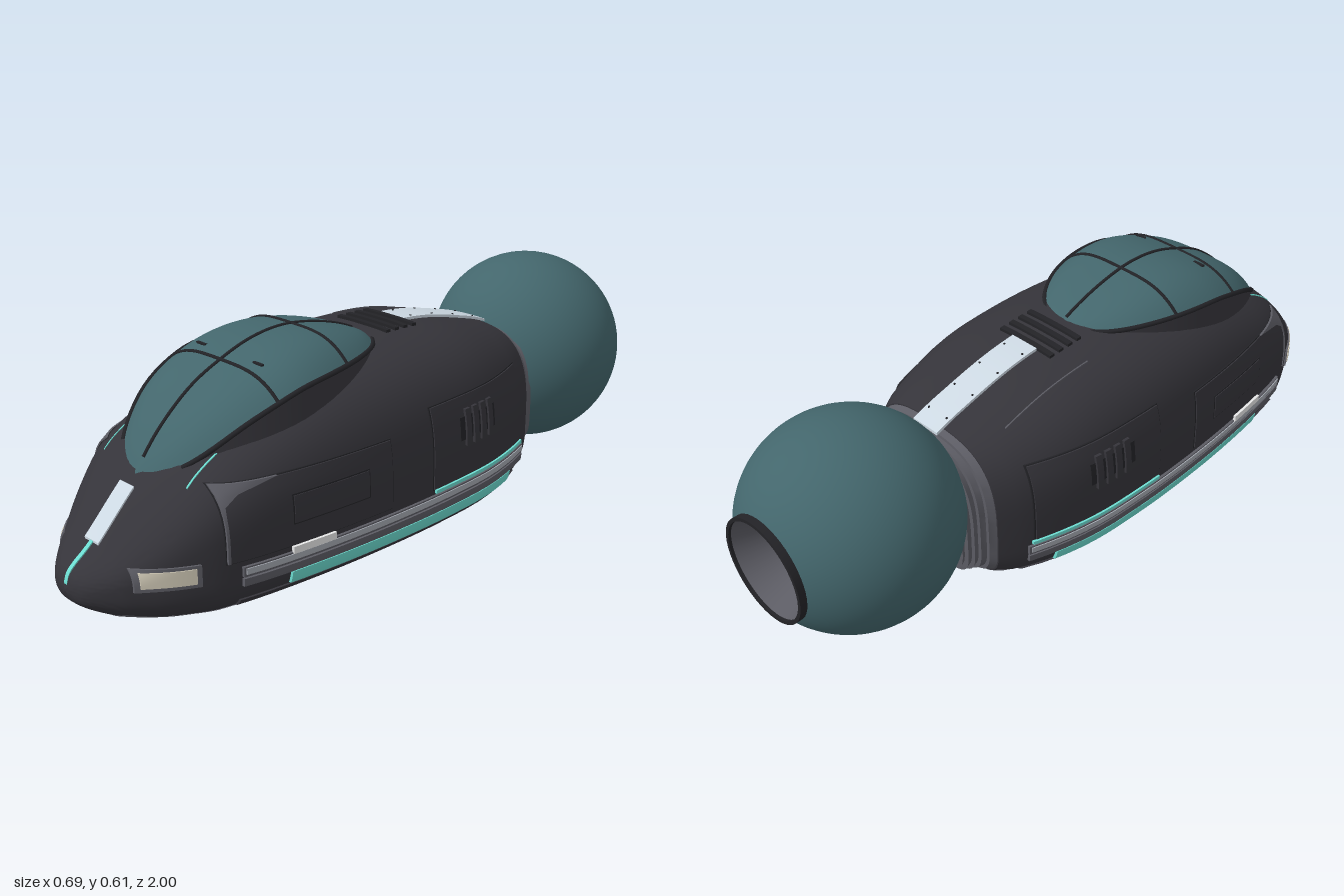
import * as THREE from 'three';
import { toCreasedNormals, mergeVertices } from 'three/addons/utils/BufferGeometryUtils.js';

const mat = (name, color, side = THREE.FrontSide) => {
  const m = new THREE.MeshStandardMaterial({ color, side });
  m.name = name;
  return m;
};

// Smooth interpolation through [z, value] pairs, z descending
function spline(p) {
  const slope = i => {
    const a = p[Math.max(i - 1, 0)], b = p[Math.min(i + 1, p.length - 1)];
    return (b[1] - a[1]) / (b[0] - a[0]);
  };
  return z => {
    z = Math.min(p[0][0], Math.max(p[p.length - 1][0], z));
    let i = 0;
    while (i < p.length - 2 && z < p[i + 1][0]) i++;
    const d = p[i + 1][0] - p[i][0], t = (z - p[i][0]) / d, t2 = t * t, t3 = t2 * t;
    return p[i][1] * (2 * t3 - 3 * t2 + 1) + p[i + 1][1] * (3 * t2 - 2 * t3)
      + slope(i) * d * (t3 - 2 * t2 + t) + slope(i + 1) * d * (t3 - t2);
  };
}

// Hull profile curves
const halfW = spline([[1, 0], [0.99, 0.05], [0.97, 0.085], [0.93, 0.13], [0.9, 0.155], [0.84, 0.2], [0.78, 0.235],
  [0.72, 0.262], [0.6, 0.29], [0.4, 0.315], [0.2, 0.328], [0, 0.33], [-0.2, 0.316], [-0.4, 0.262], [-0.48, 0.215]]);
const topY = spline([[1, 0.105], [0.99, 0.138], [0.97, 0.16], [0.94, 0.182], [0.91, 0.207], [0.8, 0.317], [0.72, 0.385],
  [0.6, 0.445], [0.4, 0.505], [0.2, 0.53], [0, 0.535], [-0.2, 0.52], [-0.4, 0.472], [-0.48, 0.445]]);
const lowY = spline([[1, 0.105], [0.99, 0.075], [0.95, 0.045], [0.9, 0.026], [0.8, 0.011], [0.6, 0.006],
  [-0.1, 0.006], [-0.3, 0.014], [-0.42, 0.035], [-0.48, 0.06]]);
const midY = spline([[1, 0.105], [0.9, 0.13], [0.72, 0.19], [0.5, 0.2], [-0.48, 0.2]]);
const power = (z, up) => {
  const t = Math.min(1, Math.max(0, (1 - z) / 0.28));
  return up ? 2.2 + 0.8 * t : 2.4 + 2.6 * t;
};

// Hull surface look-ups
function sideX(z, y) {
  const m = midY(z), up = y > m, n = power(z, up);
  const v = Math.min(0.999, Math.abs(y - m) / Math.abs((up ? topY(z) : lowY(z)) - m || 1e-6));
  return halfW(z) * Math.pow(1 - Math.pow(v, n), 1 / n);
}
function hullY(z, x, up) {
  const m = midY(z), n = power(z, up), u = Math.min(0.999, Math.abs(x) / (halfW(z) || 1e-6));
  return m + ((up ? topY(z) : lowY(z)) - m) * Math.pow(1 - Math.pow(u, n), 1 / n);
}

// Loft of hull sections; stations are [z, scale]
function loft(stations, crease, segs = 72) {
  const pos = [], idx = [];
  stations.forEach(([z, s], i) => {
    const m = midY(z), cy = (topY(z) + lowY(z)) / 2;
    for (let j = 0; j < segs; j++) {
      const a = j / segs * Math.PI * 2, c = Math.cos(a), q = Math.sin(a), up = q > 0, e = 2 / power(z, up);
      const x = halfW(z) * Math.sign(c) * Math.pow(Math.abs(c), e);
      const y = m + ((up ? topY(z) : lowY(z)) - m) * Math.pow(Math.abs(q), e);
      pos.push(x * s, cy + (y - cy) * s, z);
      if (i < stations.length - 1) {
        const k = (j + 1) % segs, r = i * segs, t = r + segs;
        idx.push(r + j, t + j, r + k, r + k, t + j, t + k);
      }
    }
  });
  const g = new THREE.BufferGeometry();
  g.setAttribute('position', new THREE.Float32BufferAttribute(pos, 3));
  g.setIndex(idx);
  return toCreasedNormals(g, crease);
}

function bend(g, rule) {
  const p = g.attributes.position, v = new THREE.Vector3();
  for (let i = 0; i < p.count; i++) {
    rule(v.fromBufferAttribute(p, i));
    p.setXYZ(i, v.x, v.y, v.z);
  }
  g.computeVertexNormals();
  return g;
}

// Canopy height: centre ridge falling to the rim
const ridgeY = spline([[0.78, 0.335], [0.7, 0.43], [0.6, 0.512], [0.5, 0.56], [0.4, 0.592], [0.3, 0.602],
  [0.2, 0.59], [0.1, 0.563], [0.02, 0.53]]);
const rimY = spline([[0.78, 0.33], [0.72, 0.375], [0.6, 0.458], [0.5, 0.502], [0.4, 0.528], [0.2, 0.537], [0.02, 0.525]]);
const canopyHalf = z => 0.225 * Math.sqrt(Math.max(0, 1 - ((z - 0.4) / 0.38) ** 2));
function canopyY(x, z) {
  const u = Math.min(1, Math.abs(x) / Math.max(canopyHalf(z), 1e-5));
  return rimY(z) + (ridgeY(z) - rimY(z)) * (1 - Math.pow(u, 3.6));
}

export function createModel() {
  const root = new THREE.Group();
  const M = {
    hull: mat('charcoal hull', 0x35343a),
    trim: mat('black trim', 0x232327),
    grey: mat('grey metal', 0x5c5c64, THREE.DoubleSide),
    rail: mat('light metal', 0xa4a8b0),
    glass: mat('deep teal shell', 0x43666c, THREE.DoubleSide),
    glow: mat('bright teal light', 0x6cdcd0),
    silver: mat('pale silver', 0xcdd9e3),
    lamp: mat('cream lamp', 0xd0c9b6),
    white: mat('white marker', 0xffffff),
    blue: mat('blue underside pad', 0x2a87a2),
  };
  const add = (name, g, m, parent = root) => {
    const mesh = new THREE.Mesh(g, m);
    mesh.name = name;
    parent.add(mesh);
    return mesh;
  };
  // Plates that follow the hull: on a flank, or on the top / underside
  const flank = (name, s, z0, z1, y0, y1, lift, m, shape) => {
    const g = new THREE.BoxGeometry(0.008, y1 - y0, z1 - z0, 1, 8, 20);
    g.translate(s * (lift - 0.004), (y0 + y1) / 2, (z0 + z1) / 2);
    add(name, bend(g, v => { if (shape) shape(v); v.x += s * sideX(v.z, v.y); }), m);
  };
  const deck = (name, x0, x1, z0, z1, lift, m, up = true) => {
    const g = new THREE.BoxGeometry(x1 - x0, 0.008, z1 - z0, 6, 1, 16);
    g.translate((x0 + x1) / 2, (up ? 1 : -1) * (lift - 0.004), (z0 + z1) / 2);
    add(name, bend(g, v => { v.y += hullY(v.z, v.x, up); }), m);
  };
  const tube = (name, pts, r, m) =>
    add(name, new THREE.TubeGeometry(new THREE.CatmullRomCurve3(pts), 60, r, 6), m);

  // Hull, stepped rear neck and belly plate
  const stations = [];
  for (let i = 0; i <= 60; i++) stations.push([1 - 1.45 * Math.pow(i / 60, 2), 1]);
  add('hull', loft([...stations, [-0.451, 0.8]], 0.7), M.hull);
  add('neck', loft([[-0.449, 0.985], [-0.468, 0.985], [-0.469, 0.95], [-0.486, 0.965], [-0.487, 0.92], [-0.503, 0.94],
    [-0.504, 0.89], [-0.52, 0.91], [-0.521, 0.85], [-0.53, 0.86], [-0.531, 0]], 0.5), M.grey);
  add('belly', bend(new THREE.PlaneGeometry(1.7, 1.36, 24, 60), v => {
    const z = v.y + 0.24, x = v.x * halfW(z);
    v.set(x, hullY(z, x, false) - 0.002, z);
  }), M.grey);

  // Canopy dome, and the coaming that joins it to the hull
  const dome = new THREE.RingGeometry(0.001, 1, 72, 22);
  dome.deleteAttribute('uv');
  dome.deleteAttribute('normal');
  add('canopy', bend(mergeVertices(dome), v => {
    const x = 0.225 * v.x, z = 0.4 - 0.38 * v.y;
    v.set(x, canopyY(x, z), z);
  }), M.glass);
  add('canopyCoaming', bend(new THREE.CylinderGeometry(1, 1, 1, 72, 1, true), v => {
    const low = 0.5 - v.y, z = 0.4 + 0.38 * v.z;
    v.set(v.x * (0.225 + 0.012 * low), rimY(z) - 0.08 * low, z);
  }), M.hull);

  // Canopy frame
  const along = (n, f) => Array.from({ length: n + 1 }, (_, i) => f(i / n));
  tube('canopyRim', along(50, t => {
    const a = -Math.PI / 2 + (t - 0.5) * 2 * (Math.PI - 0.55), z = 0.4 + 0.38 * Math.sin(a);
    return new THREE.Vector3(0.226 * Math.cos(a), rimY(z), z);
  }), 0.007, M.trim);
  tube('canopySpine', along(20, t => new THREE.Vector3(0, ridgeY(0.75 - 0.71 * t), 0.75 - 0.71 * t)), 0.005, M.trim);
  for (const z of [0.5, 0.26]) tube('canopyCrossbar', along(24, t => {
    const x = (t * 2 - 1) * canopyHalf(z);
    return new THREE.Vector3(x, canopyY(x, z), z);
  }), 0.005, M.trim);

  // Nose plate and light, rear spine plate, vents and rivets
  deck('nosePlate', -0.028, 0.028, 0.803, 0.915, 0.006, M.silver);
  deck('noseLight', -0.006, 0.006, 0.915, 0.996, 0.004, M.glow);
  deck('spinePlate', -0.045, 0.045, -0.475, -0.11, 0.008, M.silver);
  deck('rearDeckLine', -0.167, -0.164, -0.35, -0.05, 0.003, M.grey);
  for (let i = 0; i < 4; i++) deck('topVent', -0.095, 0.095, -0.016 - i * 0.034, 0 - i * 0.034, 0.009, M.trim);
  for (const s of [-1, 1]) for (let i = 0; i < 4; i++) {
    const x = s * 0.034, z = -0.16 - i * 0.09;
    add('rivet', new THREE.CylinderGeometry(0.003, 0.003, 0.006, 8), M.trim).position.set(x, hullY(z, x, true) + 0.007, z);
  }

  for (const s of [-1, 1]) {
    // Headlights
    flank('headlightFrame', s, 0.775, 0.908, 0.12, 0.178, 0.006, M.grey);
    flank('headlight', s, 0.787, 0.897, 0.13, 0.17, 0.009, M.lamp);

    // Front flank panel with corner gusset and hatch
    flank('frontPanelSeam', s, 0.217, 0.72, 0.164, 0.356, 0.004, M.trim);
    flank('frontPanel', s, 0.221, 0.716, 0.167, 0.353, 0.007, M.hull);
    flank('panelGusset', s, 0.56, 0.718, 0.167, 0.355, 0.01, M.grey, v => {
      const k = Math.max(0, (v.y - 0.29) / 0.065);
      v.z = 0.718 - (0.718 - v.z) * (0.04 + 0.92 * k ** 3);
    });
    flank('hatchSeam', s, 0.3, 0.54, 0.223, 0.302, 0.009, M.trim);
    flank('hatch', s, 0.304, 0.536, 0.227, 0.298, 0.011, M.hull);

    // Rear flank panel with louvres
    flank('rearPanelSeam', s, -0.363, 0.068, 0.164, 0.396, 0.004, M.trim);
    flank('rearPanel', s, -0.359, 0.064, 0.167, 0.393, 0.007, M.hull);
    flank('louvreRecess', s, -0.195, -0.04, 0.275, 0.34, 0.009, M.trim);
    for (let i = 0; i < 4; i++) {
      const z = -0.07 - i * 0.033;
      flank('louvre', s, z - 0.01, z + 0.01, 0.258, 0.36, 0.015, M.hull);
    }

    // Running rails and light strips
    flank('upperRail', s, -0.38, 0.68, 0.123, 0.15, 0.01, M.grey);
    flank('railInlay', s, -0.375, 0.675, 0.13, 0.146, 0.013, M.rail);
    flank('lowerRail', s, -0.38, 0.68, 0.098, 0.119, 0.011, M.grey);
    flank('lightStrip', s, -0.3, 0.545, 0.062, 0.096, 0.011, M.glow);
    flank('rearLightLine', s, -0.37, 0.06, 0.156, 0.166, 0.012, M.glow);
    flank('whiteMarker', s, 0.415, 0.545, 0.147, 0.166, 0.014, M.white);
    flank('sill', s, -0.38, 0.68, 0.035, 0.055, 0.007, M.hull);

    // Thin deck lines, wiper tabs and underside pads
    deck('frontDeckLine', s * 0.166 - 0.002, s * 0.166 + 0.002, 0.64, 0.75, 0.002, M.glow);
    add('wiperTab', new THREE.BoxGeometry(0.035, 0.005, 0.008), M.trim)
      .position.set(s * 0.11, canopyY(0.11, 0.47) + 0.002, 0.47);
    for (const z of [0.45, -0.11])
      deck('undersidePad', s * 0.14 - 0.08, s * 0.14 + 0.08, z - 0.13, z + 0.13, 0.005, M.blue, false);
  }

  // Rear sphere with exhaust funnel and glowing rings; local +y points backwards
  const pod = new THREE.Group();
  pod.name = 'rearPod';
  pod.position.set(0, 0.305, -0.73);
  pod.rotation.x = -Math.PI / 2;
  root.add(pod);
  add('podSphere', new THREE.SphereGeometry(0.29, 64, 40, 0, Math.PI * 2, Math.PI / 6, Math.PI * 5 / 6), M.glass, pod);
  const lathe = pts => toCreasedNormals(new THREE.LatheGeometry(pts.map(p => new THREE.Vector2(...p)), 48), 0.5);
  add('funnelRim', lathe([[0.147, 0.245], [0.147, 0.27], [0.137, 0.27], [0.137, 0.262]]), M.trim, pod);
  add('funnel', lathe([[0.14, 0.268], [0.095, 0.155]]), M.grey, pod);
  add('funnelFloor', new THREE.CylinderGeometry(0.1, 0.1, 0.01, 48), M.glow, pod).position.y = 0.155;
  for (const [r, t, m] of [[0.086, 0.009, M.glow], [0.068, 0.004, M.glass], [0.052, 0.008, M.glow], [0.034, 0.003, M.glass]]) {
    const ring = add('funnelRing', new THREE.TorusGeometry(r, t, 8, 40), m, pod);
    ring.rotation.x = Math.PI / 2;
    ring.position.y = 0.16;
  }
  return root;
}
